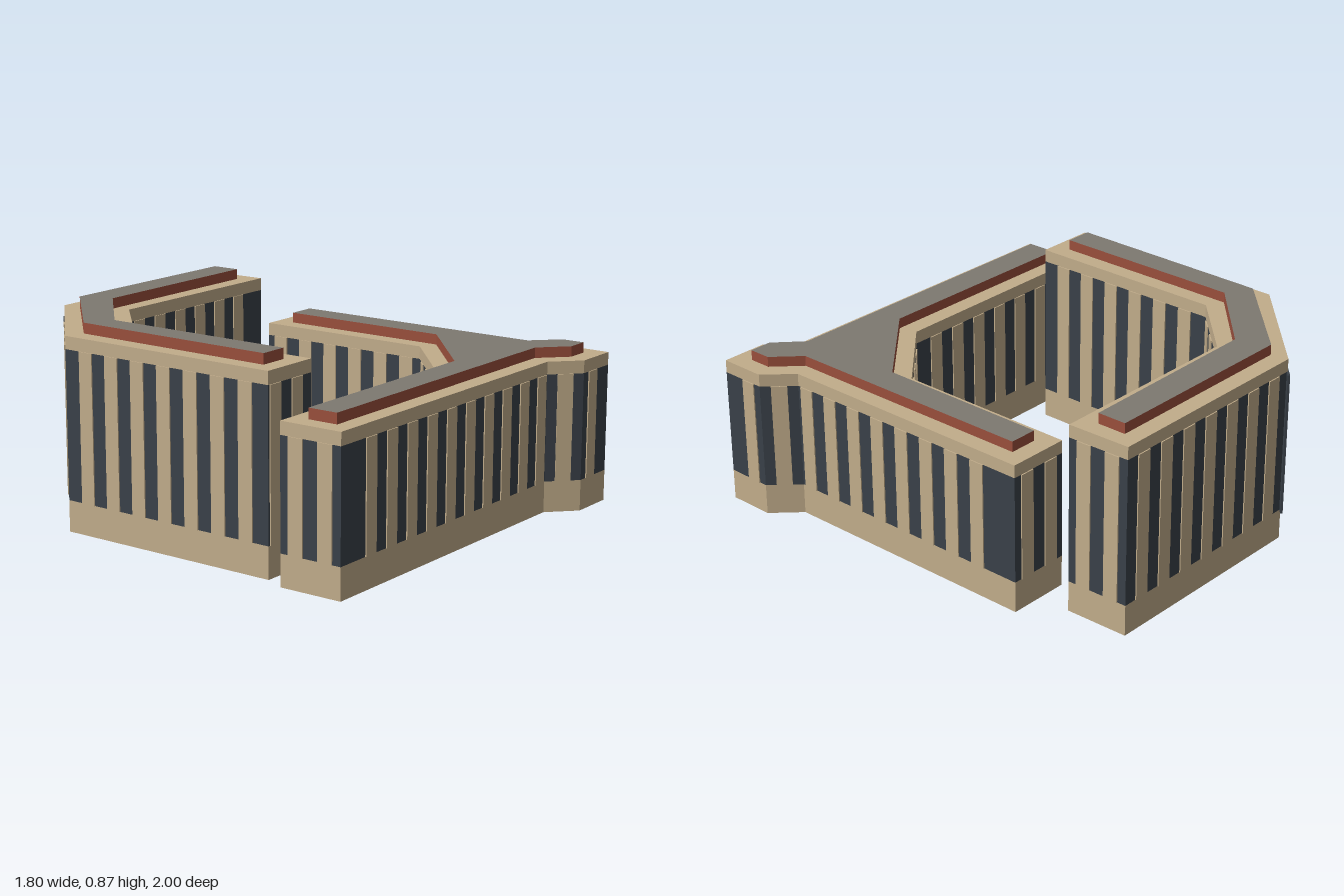
import * as THREE from 'three';

const mat = (name, color) => Object.assign(new THREE.MeshStandardMaterial({ color }), { name });

const PITCH = 0.137;

// Upright prism over a plan outline given as [x, z] corners
function prism(name, plan, y0, y1, material) {
  const shape = new THREE.Shape(plan.map(([x, z]) => new THREE.Vector2(x, -z)));
  const geo = new THREE.ExtrudeGeometry(shape, { depth: y1 - y0, bevelEnabled: false });
  geo.rotateX(-Math.PI / 2).translate(0, y0, 0);
  const mesh = new THREE.Mesh(geo, material);
  mesh.name = name;
  return mesh;
}

// Thin upright plate on the wall from a to b, centred at distance s along it
function plate(name, a, b, s, width, y0, y1, material) {
  const dx = b[0] - a[0], dz = b[1] - a[1], len = Math.hypot(dx, dz);
  const mesh = new THREE.Mesh(new THREE.BoxGeometry(width, y1 - y0, 0.0099), material);
  mesh.position.set(a[0] + dx / len * s, (y0 + y1) / 2, a[1] + dz / len * s);
  mesh.rotation.y = Math.atan2(-dz, dx);
  mesh.name = name;
  return mesh;
}

// Wing: stone base, dark glazed storey with piers, stone cornice, raised roof
function wing(name, plan, roofPlan, levels, shifts, m) {
  const [sill, head, cornice, top] = levels;
  const group = new THREE.Group();
  group.name = name;
  group.add(
    prism('base', plan, 0, sill, m.stone),
    prism('glazing', plan, sill, head, m.glass),
    prism('cornice', plan, head, cornice, m.stone),
    prism('roof', roofPlan, cornice, top, [m.slab, m.brick])
  );
  // Evenly spaced piers along every wall
  plan.forEach((a, i) => {
    const b = plan[(i + 1) % plan.length];
    const len = Math.hypot(b[0] - a[0], b[1] - a[1]);
    const n = Math.floor(len / PITCH + 0.02);
    const start = (len - (n - 1) * PITCH) / 2 + (shifts[i] || 0);
    for (let k = 0; k < n; k++) {
      group.add(plate('pier', a, b, start + k * PITCH, 0.068, sill, head, m.stone));
    }
  });
  return group;
}

export function createModel() {
  const m = {
    stone: mat('sandstone', 0xc2ad8b),
    glass: mat('dark glass', 0x3a4149),
    brick: mat('brick red', 0x9a4f3c),
    slab: mat('roof grey', 0x7e7971)
  };
  const model = new THREE.Group();
  model.name = 'courtyardBuilding';

  // Low front and right wing with a splayed corner tower
  const lowPlan = [
    [-0.9, 0.88], [0.57, 0.88], [0.685, 0.99], [0.89, 0.99], [0.892, 0.783], [0.78, 0.668],
    [0.782, -0.54], [0.505, -0.54], [0.5, 0.285], [0.16, 0.59], [-0.9, 0.598]
  ];
  const lowRoof = [
    [-0.82, 0.803], [0.6, 0.8], [0.715, 0.91], [0.815, 0.91], [0.815, 0.81], [0.705, 0.7],
    [0.705, -0.46], [0.58, -0.46], [0.575, 0.32], [0.18, 0.67], [-0.82, 0.67]
  ];
  model.add(wing('lowWing', lowPlan, lowRoof, [0.135, 0.6, 0.655, 0.7],
    [0.074, 0, -0.03, 0.035, 0, -0.075], m));

  // Tall back and left wing with a chamfered corner
  const tallPlan = [
    [-0.857, 0.508], [-0.847, -0.535], [-0.38, -0.972], [0.63, -0.972],
    [0.636, -0.688], [-0.285, -0.685], [-0.58, -0.4], [-0.585, 0.508]
  ];
  const tallRoof = [
    [-0.783, 0.43], [-0.768, -0.505], [-0.365, -0.895], [0.557, -0.895],
    [0.557, -0.765], [-0.31, -0.755], [-0.653, -0.44], [-0.66, 0.43]
  ];
  const tall = wing('tallWing', tallPlan, tallRoof, [0.135, 0.77, 0.825, 0.87],
    [0, 0, 0, 0, 0.055, 0, 0, 0.025], m);
  // Glazing fin running past the chamfered corner
  tall.add(plate('cornerFin', tallPlan[2], tallPlan[1], 0, 0.075, 0.135, 0.77, m.glass));
  model.add(tall);

  return model;
}
